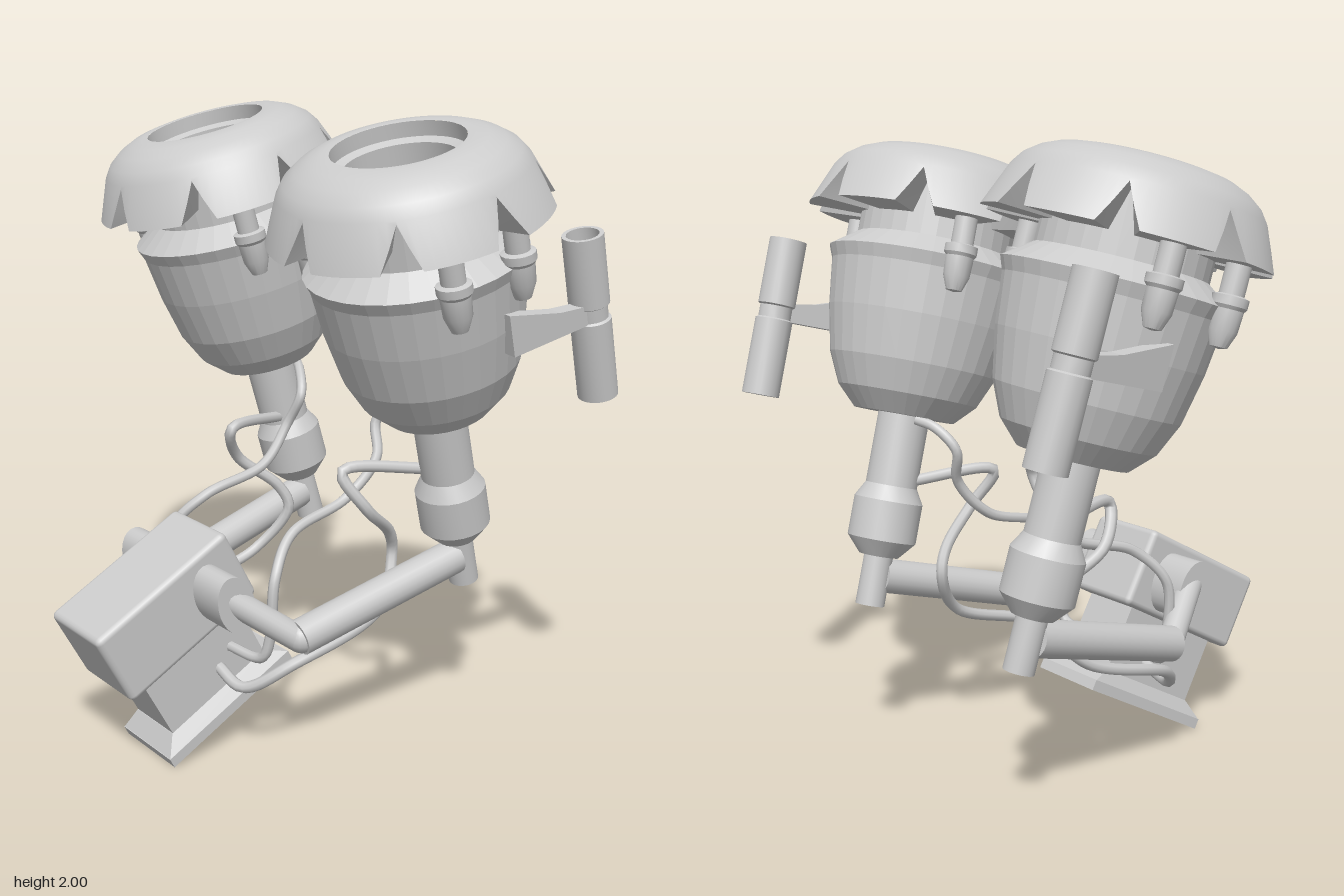
import * as THREE from 'three';
import { toCreasedNormals } from 'three/addons/utils/BufferGeometryUtils.js';
import { RoundedBoxGeometry } from 'three/addons/geometries/RoundedBoxGeometry.js';

const smooth = new THREE.MeshStandardMaterial({ color: 0xcccccc });
const flat = new THREE.MeshStandardMaterial({ color: 0xcccccc, flatShading: true });

function add(parent, name, geometry, material = smooth) {
  const mesh = new THREE.Mesh(geometry, material);
  mesh.name = name;
  parent.add(mesh);
  return mesh;
}

// Turned part; profile is [radius, height] pairs running bottom to top
function turned(profile, sides = 32, crease = 0.5) {
  const pts = profile.map(([r, y]) => new THREE.Vector2(r, y));
  return toCreasedNormals(new THREE.LatheGeometry(pts, sides), crease);
}

// Straight rod between two points
function rod(parent, name, a, b, radius, sides = 20) {
  const p = new THREE.Vector3(...a), q = new THREE.Vector3(...b);
  const mesh = add(parent, name, new THREE.CylinderGeometry(radius, radius, p.distanceTo(q), sides));
  mesh.position.copy(p).lerp(q, 0.5);
  mesh.quaternion.setFromUnitVectors(new THREE.Vector3(0, 1, 0), q.sub(p).normalize());
}

function cable(parent, name, points, radius) {
  const curve = new THREE.CatmullRomCurve3(points.map(p => new THREE.Vector3(...p)), false, 'centripetal');
  add(parent, name, new THREE.TubeGeometry(curve, 70, radius, 8));
}

// Domed cap whose skirt is cut by eight V notches
function capGeometry() {
  const offsets = [0, 0.07, 0.14, 0.22, 0.31, 0.393, 0.475, 0.565, 0.645, 0.715];
  const sector = Math.PI / 4, pos = [], index = [];
  const cols = offsets.length * 8, rows = 8;
  for (let i = 0; i < cols; i++) {
    const o = offsets[i % offsets.length];
    const t = Math.floor(i / offsets.length) * sector + o;
    const notch = Math.max(0, 1 - Math.min(o, sector - o) / 0.14);
    const low = 1.263 + 0.122 * notch, rim = 0.425 - 0.051 * notch;
    const section = [[0.25, low], [rim, low], [0.37, 1.395], [0.345, 1.43],
      [0.305, 1.46], [0.26, 1.48], [0.22, 1.488], [0.198, 1.487]];
    for (const [r, y] of section) pos.push(r * Math.sin(t), y, r * Math.cos(t));
    for (let j = 0; j < rows - 1; j++) {
      const a = i * rows + j, b = ((i + 1) % cols) * rows + j;
      index.push(a, b, a + 1, b, b + 1, a + 1);
    }
  }
  const g = new THREE.BufferGeometry();
  g.setAttribute('position', new THREE.Float32BufferAttribute(pos, 3));
  g.setIndex(index);
  return toCreasedNormals(g, 0.4);
}

// Pod built upright along its own axis, then leaned forward and outward
function createPod() {
  const pod = new THREE.Group();
  pod.name = 'pod';
  add(pod, 'stem', turned([[0, 0], [0.048, 0], [0.048, 0.165], [0.065, 0.165], [0.113, 0.22],
    [0.113, 0.35], [0.085, 0.4], [0.085, 0.66]], 24));
  add(pod, 'bowl', new THREE.LatheGeometry([[0, 0.634], [0.165, 0.634], [0.23, 0.7], [0.275, 0.8],
    [0.305, 0.95], [0.322, 1.1], [0.337, 1.14], [0.255, 1.2], [0.255, 1.4]]
    .map(([r, y]) => new THREE.Vector2(r, y)), 32), flat);
  add(pod, 'cap', capGeometry());
  add(pod, 'bore', turned([[0.198, 1.487], [0.198, 1.44], [0.17, 1.43], [0.17, 0.85], [0, 0.85]], 40));

  // Plugs hanging under the cap
  for (const side of [-1, 1]) for (const z of [0.14, -0.11]) {
    const plug = add(pod, 'plug', turned([[0, 1.03], [0.025, 1.035], [0.042, 1.08], [0.045, 1.14],
      [0.052, 1.15], [0.052, 1.175], [0.036, 1.18], [0.036, 1.33]], 16));
    plug.position.set(side * 0.315, 0, z);
  }

  // Canister with an open top and a waist, on a tapered bracket
  const canister = add(pod, 'canister', turned([[0, 0.617], [0.061, 0.617], [0.061, 0.87], [0.053, 0.875],
    [0.053, 0.915], [0.061, 0.92], [0.061, 1.138], [0.048, 1.138], [0.048, 1.1], [0, 1.1]], 24));
  canister.position.set(0.33, 0, -0.355);
  const fin = new THREE.Shape([[0.02, 0.88], [0.33, 0.87], [0.33, 0.925], [0.2, 0.95], [0.02, 1.01]]
    .map(p => new THREE.Vector2(...p)));
  const bracket = add(pod, 'bracket',
    new THREE.ExtrudeGeometry(fin, { depth: 0.05, bevelEnabled: false }), flat);
  bracket.rotation.y = Math.PI / 2 - 0.1;
  bracket.position.set(0.28, 0, -0.02);

  pod.position.set(0.41, 0.505, -0.5);
  pod.rotation.set(0.272, 0, -0.054);
  return pod;
}

// Everything on the model's left; mirrored for the right
function createSide() {
  const side = new THREE.Group();
  side.add(createPod());
  const hub = add(side, 'hub', new THREE.CylinderGeometry(1, 1, 0.17, 24));
  hub.geometry.rotateZ(Math.PI / 2).scale(1, 0.1, 0.065);
  hub.position.set(0.195, 0.56, 0.315);
  hub.rotation.x = 0.35;
  rod(side, 'elbowTube', [0.24, 0.58, 0.33], [0.36, 0.43, 0.13], 0.042);
  add(side, 'elbow', new THREE.SphereGeometry(0.05, 16, 10)).position.set(0.36, 0.44, 0.13);
  rod(side, 'arm', [0.36, 0.44, 0.14], [0.415, 0.595, -0.45], 0.057);
  cable(side, 'upperCable', [[0.32, 1.12, -0.36], [0.26, 1.1, -0.33], [0.2, 1.03, -0.29], [0.24, 0.92, -0.26],
    [0.225, 0.8, -0.15], [0.24, 0.73, 0.08], [0.29, 0.62, 0.18], [0.28, 0.43, 0.19],
    [0.25, 0.35, 0.2], [0.09, 0.34, 0.22]], 0.017);
  cable(side, 'lowerCable', [[0.4, 0.9, -0.38], [0.3, 0.92, -0.07], [0.35, 0.8, -0.13], [0.3, 0.68, -0.27],
    [0.28, 0.6, -0.3], [0.34, 0.45, -0.2], [0.33, 0.34, 0.14], [0.22, 0.25, 0.25], [0.09, 0.28, 0.26]], 0.019);
  return side;
}

// Tilted base: plate, flared foot, pedestal and head block
function createBase() {
  const base = new THREE.Group();
  base.name = 'base';
  add(base, 'basePlate', new THREE.BoxGeometry(0.28, 0.035, 0.524), flat).position.y = 0.0175;
  const foot = new THREE.BoxGeometry(0.28, 0.045, 0.524);
  const p = foot.attributes.position;
  for (let i = 0; i < p.count; i++) if (p.getY(i) > 0) {
    p.setX(i, p.getX(i) * 0.75);
    p.setZ(i, p.getZ(i) * 0.77);
  }
  add(base, 'flaredFoot', foot, flat).position.y = 0.056;
  add(base, 'pedestal', new THREE.BoxGeometry(0.21, 0.25, 0.4), flat).position.y = 0.195;
  add(base, 'headBlock', new RoundedBoxGeometry(0.29, 0.262, 0.53, 2, 0.02)).position.y = 0.43;
  base.position.set(0, 0.128, 0.23);
  base.rotation.x = 0.495;
  return base;
}

export function createModel() {
  const model = new THREE.Group();
  model.name = 'twinPods';
  const left = createSide(), right = createSide();
  left.name = 'leftSide';
  right.name = 'rightSide';
  right.scale.x = -1;
  model.add(createBase(), left, right);
  return model;
}
